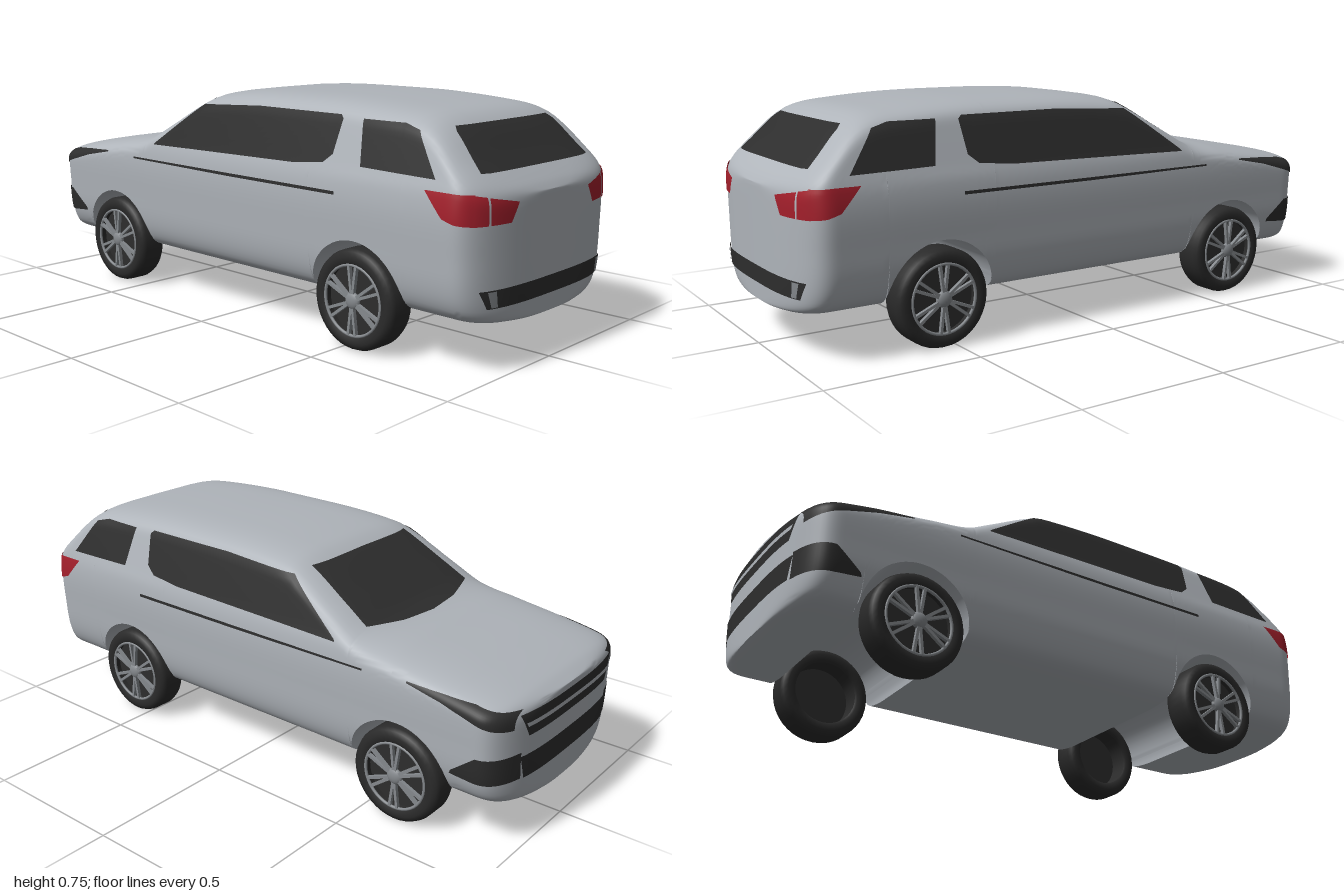
import * as THREE from 'three';
import { toCreasedNormals } from 'three/addons/utils/BufferGeometryUtils.js';

const mat = (name, color) => {
  const m = new THREE.MeshStandardMaterial({ color, side: THREE.DoubleSide });
  m.name = name;
  return m;
};

// Smooth curve through [x, y] keys
function curve(keys) {
  const slope = i => {
    const a = keys[Math.max(0, i - 1)], b = keys[Math.min(keys.length - 1, i + 1)];
    return (b[1] - a[1]) / (b[0] - a[0]);
  };
  return x => {
    let i = 0;
    while (i < keys.length - 2 && x > keys[i + 1][0]) i++;
    const [x0, y0] = keys[i], [x1, y1] = keys[i + 1], h = x1 - x0;
    const t = Math.min(1, Math.max(0, (x - x0) / h)), t2 = t * t, t3 = t2 * t;
    return y0 * (2 * t3 - 3 * t2 + 1) + y1 * (3 * t2 - 2 * t3)
      + h * (slope(i) * (t3 - 2 * t2 + t) + slope(i + 1) * (t3 - t2));
  };
}

// Body rules: top line, side outline, rounded ends and wheel arches
const topLine = curve([[-1, 0.46], [-0.95, 0.482], [-0.8, 0.512], [-0.6, 0.542], [-0.46, 0.566], [-0.36, 0.62],
  [-0.18, 0.72], [-0.1, 0.737], [0.05, 0.748], [0.25, 0.751], [0.45, 0.75], [0.65, 0.738], [0.76, 0.722],
  [0.82, 0.688], [0.9, 0.61], [0.98, 0.535], [1, 0.51]]);
const sideLine = curve([[0.145, 0.2], [0.152, 0.28], [0.165, 0.325], [0.19, 0.352], [0.25, 0.371], [0.35, 0.379],
  [0.45, 0.383], [0.52, 0.377], [0.56, 0.365], [0.7, 0.322], [0.76, 0.302]]);
const END = 0.88, FLOOR = 0.147, AXLES = [-0.625, 0.55], AXLE_Y = 0.16, ARCH = 0.182;

function halfWidth(x, y) {
  const d = topLine(x) - y;
  if (d < -1e-9) return -1;
  const u = Math.min(1, Math.max(0, (Math.abs(x) - END) / (1 - END)));
  const crown = Math.pow(1 - Math.pow(1 - Math.min(1, Math.max(0, d) / 0.08), 4), 0.25);
  return sideLine(y) * Math.cbrt(1 - u ** 3) * crown;
}

function underside(x) {
  let y = FLOOR;
  for (const c of AXLES) {
    const s = ARCH * ARCH - (x - c) ** 2;
    if (s > 0) y = Math.max(y, AXLE_Y + Math.sqrt(s));
  }
  return y;
}

// Grid of points to an indexed geometry
function gridGeometry(rows, closed) {
  const n = rows[0].length, index = [];
  for (let i = 0; i < rows.length - 1; i++) {
    for (let j = 0; j < (closed ? n : n - 1); j++) {
      const k = (j + 1) % n, a = i * n + j, b = a + n, c = (i + 1) * n + k, d = i * n + k;
      index.push(a, b, c, a, c, d);
    }
  }
  const g = new THREE.BufferGeometry();
  g.setAttribute('position', new THREE.Float32BufferAttribute(rows.flat(2), 3));
  g.setIndex(index);
  g.computeVertexNormals();
  return g;
}

function bodyGeometry() {
  const xs = [];
  for (let i = 0; i <= 70; i++) xs.push(-END + 2 * END * i / 70);
  for (let i = 1; i <= 16; i++) {
    const x = END + (1 - END) * Math.sin(i / 16 * Math.PI / 2);
    xs.push(x, -x);
  }
  for (const c of AXLES) {
    xs.push(c - ARCH - 0.0005, c + ARCH + 0.0005);
    for (let i = 0; i <= 28; i++) xs.push(c - (ARCH - 1e-6) * Math.cos(i / 28 * Math.PI));
  }
  xs.sort((a, b) => a - b);
  const N = 40;
  const rows = xs.map(x => {
    const lo = underside(x), hi = topLine(x), near = [];
    for (let j = 0; j <= N; j++) {
      const y = lo + (hi - lo) * (1 - Math.cos(j / N * Math.PI)) / 2;
      near.push([x, y, j === N ? 0 : Math.max(0, halfWidth(x, y))]);
    }
    return near.concat(near.slice(0, N).reverse().map(([a, b, z]) => [a, b, -z]));
  });
  return toCreasedNormals(gridGeometry(rows, true), 0.7);
}

// Thin panels that hug the body, spanned between a lower and an upper line
function panel(lower, upper, place, n = 10) {
  const rows = [], lerp = THREE.MathUtils.lerp;
  for (let i = 0; i < lower.length - 1; i++) {
    for (let s = i ? 1 : 0; s <= n; s++) {
      const mix = (l, k) => lerp(l[i][k], l[i + 1][k], s / n), row = [];
      for (let j = 0; j <= n; j++) {
        row.push(place(lerp(mix(lower, 0), mix(upper, 0), j / n), lerp(mix(lower, 1), mix(upper, 1), j / n)));
      }
      rows.push(row);
    }
  }
  return gridGeometry(rows, false);
}
const onSide = (s, lift = 0.004) => (x, y) => [x, y, s * (Math.max(0, halfWidth(x, y)) + lift)];
const onEnd = (s, lift = 0.004) => (z, y) => {
  let out = s, inn = s > 0 ? 0.5 : 0.1;
  for (let i = 0; i < 30; i++) {
    const m = (out + inn) / 2;
    if (halfWidth(m, y) >= Math.abs(z)) inn = m; else out = m;
  }
  return [inn + s * lift, y, z];
};

export function createModel() {
  const paint = mat('silver paint', 0xafb4ba), glass = mat('dark glass', 0x2d2d2d), red = mat('red lens', 0xa31f2b);
  const rubber = mat('black rubber', 0x2a2a2a), alloy = mat('grey alloy', 0x85898d);
  const car = new THREE.Group();
  car.name = 'car';
  const add = (name, geometry, material, parent = car) => {
    const m = new THREE.Mesh(geometry, material);
    m.name = name;
    parent.add(m);
    return m;
  };

  add('body', bodyGeometry(), paint);

  // Front and rear glass
  add('windshield', panel([[-0.28, 0.57], [-0.14, 0.561], [0, 0.558], [0.14, 0.561], [0.28, 0.57]],
    [[-0.25, 0.707], [-0.125, 0.709], [0, 0.71], [0.125, 0.709], [0.25, 0.707]], onEnd(-1, 0.008)), glass);
  add('rearWindow', panel([[-0.28, 0.576], [-0.25, 0.574], [0.25, 0.574], [0.28, 0.576]],
    [[-0.25, 0.68], [-0.235, 0.694], [0.235, 0.694], [0.25, 0.68]], onEnd(1, 0.006), 14), glass);

  // Grille, intake and rear bumper
  const band = (z0, y0, z1, y1) => [[[-z0, y0], [z0, y0]], [[-z1, y1], [z1, y1]]];
  add('grille', panel(...band(0.24, 0.37, 0.28, 0.445), onEnd(-1), 20), glass);
  add('grilleBar', panel(...band(0.25, 0.402, 0.26, 0.416), onEnd(-1, 0.007), 20), paint);
  add('lowerIntake', panel(...band(0.25, 0.235, 0.27, 0.31), onEnd(-1), 20), glass);
  add('rearBumperTrim', panel(...band(0.295, 0.202, 0.325, 0.256), onEnd(1), 24), glass);

  for (const s of [1, -1]) {
    const side = s > 0 ? 'left' : 'right';
    // Side windows and waist line
    add(side + 'SideWindow', panel([[-0.39, 0.538], [-0.18, 0.542], [0.3, 0.55], [0.42, 0.562], [0.455, 0.59]],
      [[-0.385, 0.545], [-0.18, 0.692], [0.1, 0.706], [0.455, 0.706], [0.468, 0.695]], onSide(s)), glass);
    add(side + 'QuarterWindow', panel([[0.57, 0.565], [0.72, 0.562], [0.845, 0.56]],
      [[0.545, 0.7], [0.7, 0.7], [0.755, 0.685]], onSide(s)), glass);
    add(side + 'WaistLine', panel([[-0.5, 0.478], [0, 0.473], [0.48, 0.473]],
      [[-0.5, 0.484], [0, 0.483], [0.48, 0.483]], onSide(s, 0.002)), glass);
    // Lamps
    add(side + 'Headlight', panel([[-0.977, 0.405], [-0.88, 0.435], [-0.78, 0.463], [-0.66, 0.486]],
      [[-0.977, 0.457], [-0.88, 0.477], [-0.78, 0.485], [-0.66, 0.491]], onSide(s)), glass);
    add(side + 'FogLamp', panel([[-0.985, 0.235], [-0.9, 0.235], [-0.815, 0.242]],
      [[-0.985, 0.322], [-0.9, 0.32], [-0.82, 0.255]], onSide(s)), glass);
    add(side + 'OuterTailLight', panel([[0.88, 0.458], [0.92, 0.445], [0.96, 0.44]],
      [[0.815, 0.53], [0.9, 0.53], [0.955, 0.527]], onSide(s)), red);
    add(side + 'CornerTailLight', panel([[s * 0.303, 0.44], [s * 0.35, 0.44]],
      [[s * 0.303, 0.518], [s * 0.35, 0.527]], onEnd(1)), red);
    add(side + 'InnerTailLight', panel([[s * 0.218, 0.44], [s * 0.296, 0.44]],
      [[s * 0.185, 0.495], [s * 0.296, 0.516]], onEnd(1)), red);
    add(side + 'RearReflector', panel([[s * 0.262, 0.206], [s * 0.284, 0.206]],
      [[s * 0.27, 0.253], [s * 0.3, 0.253]], onEnd(1, 0.007)), alloy);

    // Wheels
    for (const x of AXLES) {
      const wheel = new THREE.Group();
      wheel.name = side + (x < 0 ? 'FrontWheel' : 'RearWheel');
      wheel.position.set(x, 0.158, s * 0.327);
      if (s < 0) wheel.rotation.y = Math.PI;
      car.add(wheel);
      const tyre = [[0.108, -0.045], [0.115, -0.05], [0.135, -0.052], [0.15, -0.045], [0.156, -0.03],
        [0.156, 0.03], [0.15, 0.045], [0.135, 0.052], [0.115, 0.05], [0.108, 0.045], [0.108, -0.045]];
      const tyreGeometry = new THREE.LatheGeometry(tyre.map(p => new THREE.Vector2(...p)), 40).rotateX(Math.PI / 2);
      add('tyre', toCreasedNormals(tyreGeometry, 0.8), rubber, wheel);
      add('wheelDish', new THREE.CircleGeometry(0.109, 32).translate(0, 0, 0.025), glass, wheel);
      add('rim', new THREE.TorusGeometry(0.109, 0.005, 8, 40).translate(0, 0, 0.047), alloy, wheel);
      for (let i = 0; i < 6; i++) {
        for (const k of [-1, 1]) {
          const spoke = new THREE.BoxGeometry(0.009, 0.088, 0.012).translate(0, 0.064, 0.046);
          spoke.rotateZ(k * 0.13 + i * Math.PI / 3);
          add('spoke', spoke, alloy, wheel);
        }
      }
      const hub = add('hub', new THREE.SphereGeometry(0.027, 20, 12), alloy, wheel);
      hub.position.z = 0.045;
      hub.scale.z = 0.5;
    }
  }
  return car;
}
